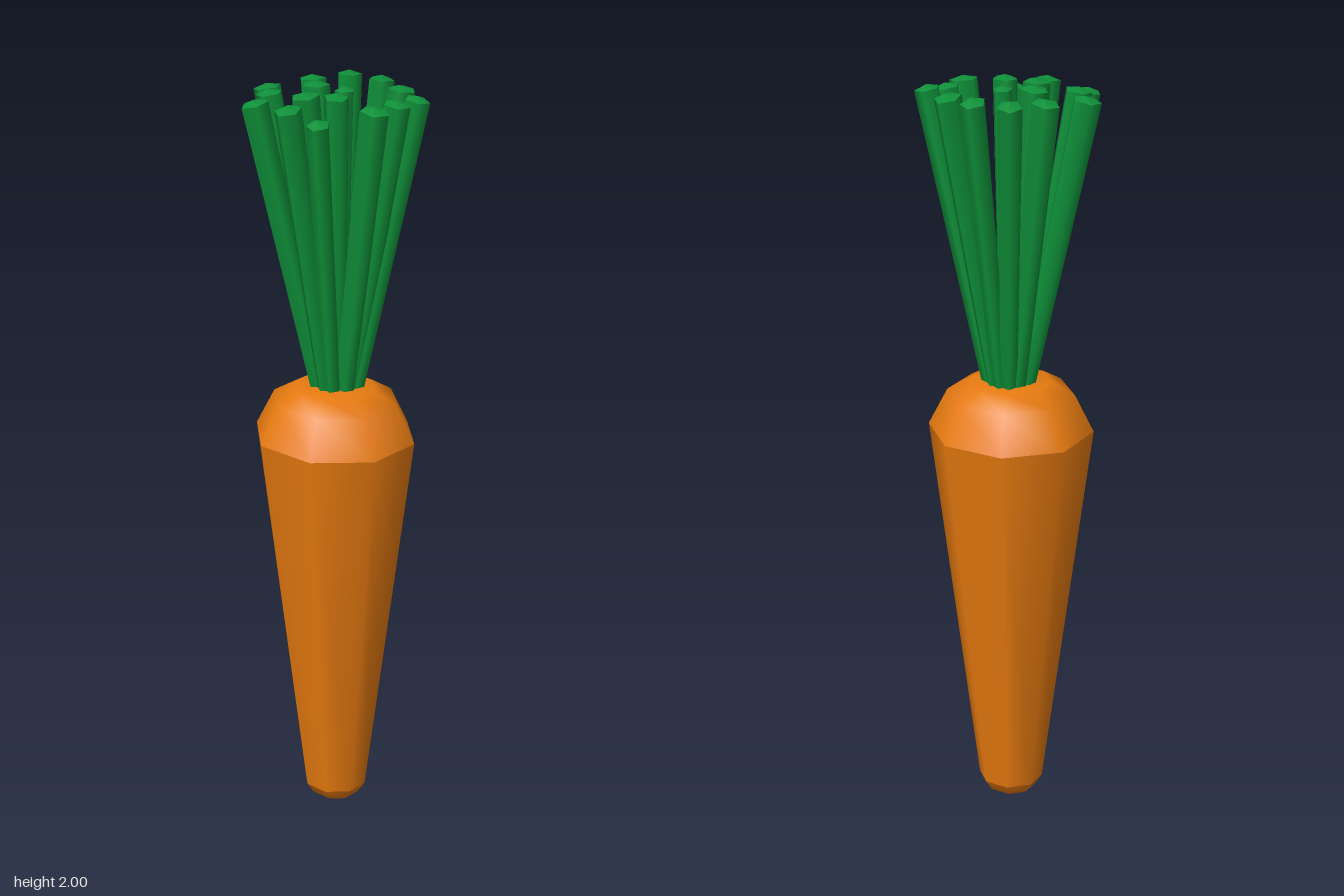
import * as THREE from 'three';

const orange = new THREE.MeshStandardMaterial({ name: 'carrot orange', color: 0xe67a10 });
const green = new THREE.MeshStandardMaterial({ name: 'leaf green', color: 0x0f913a });

// Eight-sided band turned from a few [radius, height] points
function band(name, points) {
  const profile = points.map(([r, y]) => new THREE.Vector2(r, y));
  const mesh = new THREE.Mesh(new THREE.LatheGeometry(profile, 8), orange);
  mesh.name = name;
  return mesh;
}

// Five-sided stalk that widens from its base to a slightly pointed end
function stalk([x, z, topY, r], i) {
  const base = new THREE.Vector3(x * 0.2, 1.19, z * 0.22);
  const tip = new THREE.Vector3(x, topY, z);
  const dir = tip.clone().sub(base);
  const length = dir.length();
  const cap = 0.01;

  const group = new THREE.Group();
  group.name = 'stalk';
  const stem = new THREE.Mesh(
    new THREE.CylinderGeometry(r, 0.024, length - cap, 5, 1, true), green);
  stem.name = 'stalkStem';
  stem.position.y = (length - cap) / 2;
  const end = new THREE.Mesh(new THREE.ConeGeometry(r, cap, 5, 1, true), green);
  end.name = 'stalkEnd';
  end.position.y = length - cap / 2;
  group.add(stem, end);

  group.position.copy(base);
  group.quaternion.setFromUnitVectors(new THREE.Vector3(0, 1, 0), dir.normalize());
  group.rotateY(Math.atan2(x, z) + (i % 3) * 0.25);
  group.scale.set(0.88, 1, 1);
  return group;
}

export function createModel() {
  const model = new THREE.Group();
  model.name = 'carrot';

  // Root: rounded tip, long taper and bevelled shoulder, slightly oval
  const root = new THREE.Group();
  root.name = 'root';
  root.add(
    band('rootTip', [[0, 0], [0.045, 0.004], [0.066, 0.018], [0.085, 0.048]]),
    band('rootBody', [[0.085, 0.048], [0.212, 1.085]]),
    band('rootShoulder', [[0.212, 1.085], [0.163, 1.183], [0.105, 1.217], [0, 1.222]]),
  );
  root.scale.z = 0.9;
  root.position.set(-0.004, 0, 0.007);
  model.add(root);

  // Stalks: tip x, tip z, tip height, tip radius
  const tips = [
    [-0.022, -0.158, 1.99, 0.036], [0.068, -0.14, 1.99, 0.036],
    [0.137, -0.088, 1.985, 0.038], [0.198, -0.016, 1.985, 0.032],
    [0.158, 0.022, 1.98, 0.034], [0.125, 0.092, 1.98, 0.037],
    [0.002, 0.145, 1.95, 0.033], [-0.078, 0.135, 1.975, 0.037],
    [-0.185, 0.078, 1.965, 0.036], [-0.165, 0.03, 1.98, 0.034],
    [-0.193, -0.033, 1.975, 0.036], [-0.102, -0.108, 1.985, 0.036],
    [-0.065, -0.028, 1.995, 0.037], [-0.062, 0.06, 1.99, 0.038],
    [0.018, 0.06, 1.995, 0.034], [0.013, -0.02, 1.99, 0.026],
  ];
  const leaves = new THREE.Group();
  leaves.name = 'stalks';
  tips.forEach((t, i) => leaves.add(stalk(t, i)));
  model.add(leaves);

  return model;
}
